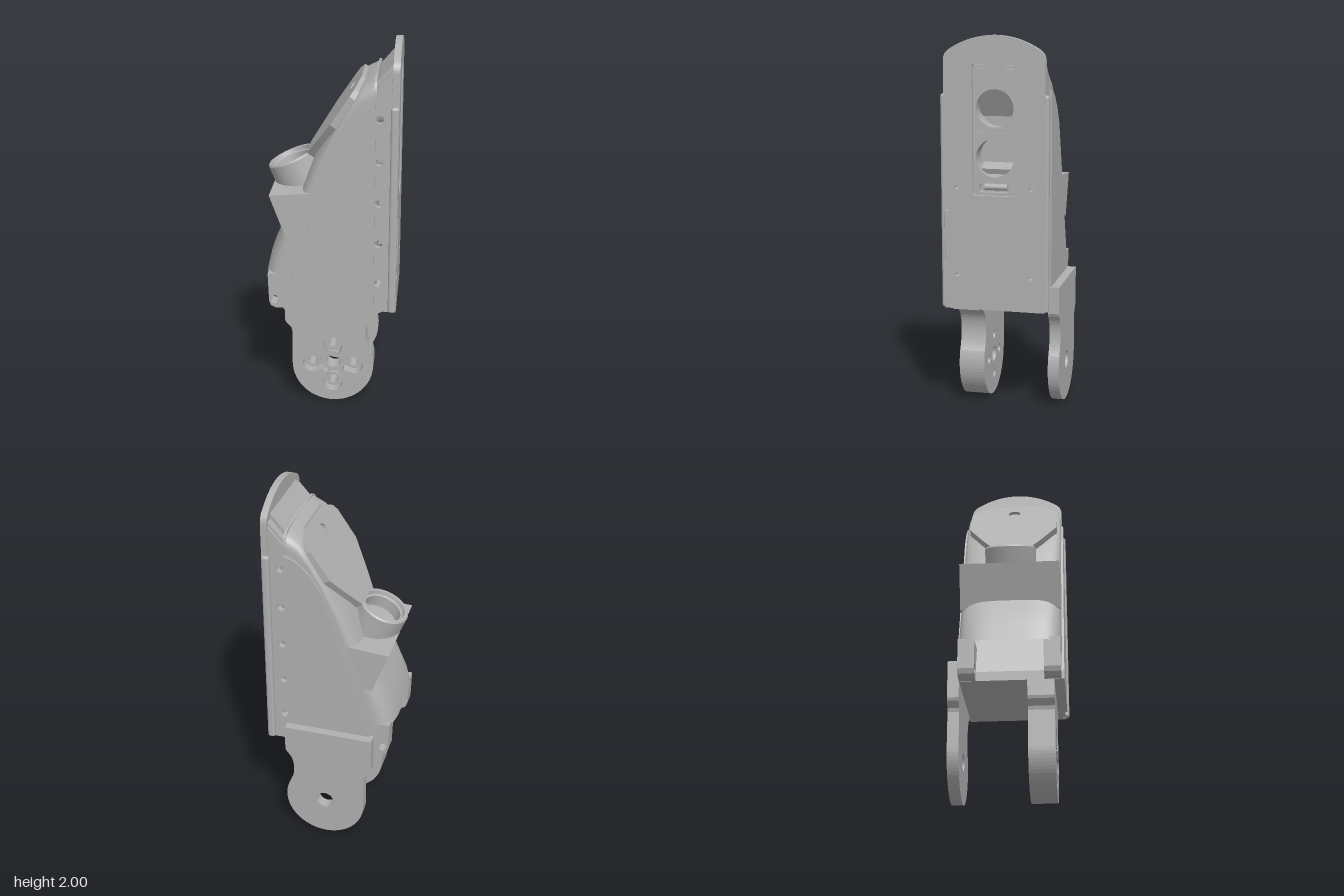
import * as THREE from 'three';
import { RoundedBoxGeometry } from 'three/addons/geometries/RoundedBoxGeometry.js';

const ZC = 0.0175; // middle of the housing in z

export function createModel() {
  const model = new THREE.Group();
  const grey = new THREE.MeshStandardMaterial({ color: 0xb0b0b0, side: THREE.DoubleSide });

  const add = (name, geo) => {
    const mesh = new THREE.Mesh(geo, grey);
    mesh.name = name;
    model.add(mesh);
    return mesh;
  };
  const poly = (pts) => new THREE.Shape(pts.map(([x, y]) => new THREE.Vector2(x, y)));
  const circle = (x, y, r) => new THREE.Path().absarc(x, y, r, 0, Math.PI * 2, true);
  const extrude = (shape, a, b) => new THREE.ExtrudeGeometry(shape,
    { depth: b - a, bevelEnabled: false, curveSegments: 20 }).translate(0, 0, a);
  // plates drawn in (z, y) and extruded along x; shape x runs along -z
  const extrudeX = (shape, a, b) => extrude(shape, a, b).rotateY(Math.PI / 2);
  const roundRect = (T, x0, x1, y0, y1, r) => {
    const s = new T();
    s.moveTo(x0 + r, y0).lineTo(x1 - r, y0);
    s.quadraticCurveTo(x1, y0, x1, y0 + r).lineTo(x1, y1 - r);
    s.quadraticCurveTo(x1, y1, x1 - r, y1).lineTo(x0 + r, y1);
    s.quadraticCurveTo(x0, y1, x0, y1 - r).lineTo(x0, y0 + r);
    s.quadraticCurveTo(x0, y0, x0 + r, y0);
    return s;
  };

  // main housing with sloped side panels
  add('housing', extrude(poly([[-0.25, 0.57], [0.23, 0.57], [0.23, 1.72], [0.16, 1.69],
    [0.09, 1.62], [0.035, 1.53], [-0.25, 0.62]]), -0.26, 0.295));

  // curved front cover, lofted between the panel edge and the front line
  const sections = [ // panel edge x, y, front line x, y
    [-0.215, 0.72, -0.352, 0.755], [-0.185, 0.82, -0.33, 0.85], [-0.15, 0.93, -0.285, 0.95],
    [-0.10, 1.09, -0.22, 1.09], [-0.06, 1.22, -0.15, 1.24], [-0.01, 1.38, -0.085, 1.41],
    [0.035, 1.53, 0.02, 1.58], [0.09, 1.62, 0.115, 1.745], [0.15, 1.68, 0.165, 1.81],
    [0.235, 1.72, 0.235, 1.845]];
  const N = 32, pos = [], idx = [];
  const pow = (v) => Math.sign(v) * Math.abs(v) ** 0.5;
  sections.forEach(([sx, sy, fx, fy], i) => {
    for (let j = 0; j <= N; j++) {
      const a = (j / N - 0.5) * Math.PI, c = pow(Math.max(0, Math.cos(a)));
      pos.push(sx + (fx - sx) * c, sy + (fy - sy) * c, ZC + 0.266 * pow(Math.sin(a)));
      if (i && j) {
        const q = i * (N + 1) + j, p = q - N - 1;
        idx.push(p - 1, p, q, p - 1, q, q - 1);
      }
    }
  });
  const cover = new THREE.BufferGeometry();
  cover.setAttribute('position', new THREE.Float32BufferAttribute(pos, 3));
  cover.setIndex(idx);
  cover.computeVertexNormals();
  add('frontCover', cover);
  // end wall closing the cover at the column
  add('coverEndWall', extrudeX(roundRect(THREE.Shape, -ZC - 0.266, -ZC + 0.266, 1.5, 1.84, 0.09), 0.222, 0.235));

  // raised pad on the upper slope, with a hole
  const half = [[0.1, 0], [0.17, 0.11], [0.245, 0.24], [0.245, 0.42], [0.225, 0.46], [0.13, 0.515]];
  const pad = poly([...half, ...half.map(([x, y]) => [-x, y]).reverse()]);
  pad.holes.push(circle(0, 0.425, 0.033));
  const padGeo = extrude(pad, -0.06, 0);
  padGeo.applyMatrix4(new THREE.Matrix4().makeBasis(new THREE.Vector3(0, 0, 1),
    new THREE.Vector3(0.557, 0.83, 0), new THREE.Vector3(-0.83, 0.557, 0)).setPosition(-0.137, 1.397, ZC));
  add('upperPad', padGeo);

  // full width wedge and the round socket on it
  add('wedge', extrude(poly([[-0.32, 1.212], [-0.235, 0.98], [-0.12, 1.0], [-0.05, 1.228], [-0.115, 1.228]]), -0.247, 0.281));
  const rim = [[0.137, -0.17], [0.137, -0.008], [0.13, 0], [0.115, 0], [0.11, -0.02],
    [0.1, -0.025], [0.1, -0.09], [0, -0.09]];
  const socket = rim.slice(1).flatMap((p, i) => [rim[i], p]); // doubled points keep rings crisp
  const socketGeo = new THREE.LatheGeometry(socket.map(([x, y]) => new THREE.Vector2(x, y)), 40);
  socketGeo.rotateZ(0.395).translate(-0.23, 1.352, ZC);
  add('socket', socketGeo);

  // lower lugs on both sides of the cover notch
  for (const s of [-1, 1]) {
    const lug = poly([[-0.33, 0.61], [-0.32, 0.585], [-0.295, 0.572], [-0.24, 0.572], [-0.2, 0.77], [-0.335, 0.77]]);
    lug.holes.push(circle(-0.3, 0.62, 0.024));
    const z = ZC + s * 0.22;
    add('lug', extrude(lug, z - 0.043, z + 0.043));
  }

  // rear column: side strips with through holes
  for (const s of [-1, 1]) {
    const strip = poly([[0.225, 0.572], [0.312, 0.572], [0.312, 1.86], [0.225, 1.76]]);
    for (let i = 0; i < 5; i++) strip.holes.push(circle(0.252, 0.735 + i * 0.225, 0.021));
    const z = ZC + s * 0.249;
    add('sideStrip', extrude(strip, z - 0.015, z + 0.015));
    // rounded rail at the rear edge
    add('rearRail', new RoundedBoxGeometry(0.042, 1.13, 0.036, 3, 0.014)
      .translate(0.328, 1.137, ZC + s * 0.268));
  }
  add('columnFloor', new THREE.BoxGeometry(0.09, 0.02, 0.5).translate(0.27, 0.582, ZC));
  add('columnRoof', extrude(poly([[0.2, 1.71], [0.235, 1.74], [0.318, 1.84], [0.318, 1.915], [0.2, 1.775]]), -0.19, 0.22));
  for (const s of [-1, 1]) {
    add('roofShoulder', extrude(poly([[0.2, 1.7], [0.318, 1.8], [0.318, 1.885], [0.225, 1.78]]),
      ZC + s * 0.22 - 0.03, ZC + s * 0.22 + 0.03));
  }

  // rear plate with arched top and window
  const plate = new THREE.Shape();
  plate.moveTo(-ZC - 0.266, 0.572).lineTo(-ZC + 0.266, 0.572).lineTo(-ZC + 0.266, 1.87);
  plate.quadraticCurveTo(-ZC + 0.266, 1.91, -ZC + 0.23, 1.932);
  plate.quadraticCurveTo(-ZC + 0.12, 2.0, -ZC, 2.0);
  plate.quadraticCurveTo(-ZC - 0.12, 2.0, -ZC - 0.23, 1.932);
  plate.quadraticCurveTo(-ZC - 0.266, 1.91, -ZC - 0.266, 1.87);
  plate.holes.push(roundRect(THREE.Path, -0.132, 0.096, 1.18, 1.858, 0.02));
  for (const z of [-0.215, 0.178]) for (const y of [0.755, 1.22]) plate.holes.push(circle(z, y, 0.011));
  add('rearPlate', extrudeX(plate, 0.315, 0.35));

  // window insert: two round ports, a slot and ridges
  const insert = roundRect(THREE.Shape, -0.14, 0.104, 1.17, 1.87, 0.02);
  insert.holes.push(circle(-ZC, 1.63, 0.098), circle(-ZC, 1.375, 0.1),
    roundRect(THREE.Path, -0.1, 0.064, 1.195, 1.245, 0.02));
  add('windowInsert', extrudeX(insert, 0.3, 0.33));
  for (const y of [1.5, 1.825, 1.845]) {
    add('windowRidge', new THREE.BoxGeometry(0.014, 0.01, 0.21).translate(0.333, y, ZC));
  }
  for (const y of [1.63, 1.375]) {
    add('portWall', new THREE.CylinderGeometry(0.1, 0.1, 0.07, 32, 1, true).rotateZ(Math.PI / 2).translate(0.268, y, ZC));
  }
  add('upperPortFace', new THREE.CircleGeometry(0.11, 32).rotateY(Math.PI / 2).rotateZ(-0.5).translate(0.262, 1.63, ZC));
  add('lowerPortLedge', new THREE.BoxGeometry(0.07, 0.03, 0.16).rotateZ(-0.4).translate(0.27, 1.315, ZC));
  add('slotPin', new THREE.CylinderGeometry(0.017, 0.017, 0.12, 16).rotateX(Math.PI / 2).translate(0.3, 1.22, ZC));
  add('sideLatch', new RoundedBoxGeometry(0.012, 0.26, 0.022, 2, 0.005).translate(0.349, 0.97, 0.272));

  // hinge ears
  const CX = 0.01, CY = 0.225, R = 0.222;
  const ear = (top, flare) => {
    const s = new THREE.Shape();
    s.moveTo(-0.25, top).lineTo(-0.25, 0.485).lineTo(-0.245, 0.47).lineTo(-0.217, 0.44).lineTo(CX - R, 0.42);
    s.lineTo(CX - R, CY).absarc(CX, CY, R, Math.PI, Math.PI * 2 + 0.35, false);
    s.bezierCurveTo(0.18, 0.36, 0.17, 0.47, 0.225, 0.52);
    if (flare) s.bezierCurveTo(0.255, 0.55, 0.29, 0.56, 0.345, 0.566);
    else s.lineTo(0.235, 0.54);
    s.lineTo(flare ? 0.345 : 0.235, top);
    return s;
  };
  const spots = [0, 1, 2, 3].map((i) => [CX + 0.113 * Math.cos(i * Math.PI / 2), CY + 0.113 * Math.sin(i * Math.PI / 2)]);

  const inner = ear(0.575, true);
  inner.holes.push(circle(CX, CY, 0.042), ...spots.map(([x, y]) => circle(x, y, 0.024)));
  add('frontEarInner', extrude(inner, 0.105, 0.185));

  // outer layer with a four-lobed pocket
  const outer = ear(0.575, true), lobes = [];
  for (let i = 0; i < 120; i++) {
    const a = i / 120 * Math.PI * 2, q = Math.round(a / (Math.PI / 2)) * Math.PI / 2, d = 0.113 * Math.sin(a - q);
    const r = Math.abs(d) < 0.052 ? 0.113 * Math.cos(a - q) + Math.sqrt(0.052 ** 2 - d * d) : 0.068;
    lobes.push(new THREE.Vector2(CX + r * Math.cos(a), CY + r * Math.sin(a)));
  }
  outer.holes.push(new THREE.Path(lobes));
  add('frontEarOuter', extrude(outer, 0.185, 0.243));
  const ring = (x, y, ro, ri) => {
    const s = new THREE.Shape().absarc(x, y, ro, 0, Math.PI * 2, false);
    s.holes.push(circle(x, y, ri));
    return s;
  };
  spots.forEach(([x, y]) => add('screwBoss', extrude(ring(x, y, 0.042, 0.025), 0.18, 0.205)));
  add('hubRing', extrude(ring(CX, CY, 0.056, 0.042), 0.18, 0.2));

  const rear = ear(0.685, false);
  rear.holes.push(circle(CX, CY, 0.048));
  add('rearEar', extrude(rear, -0.305, -0.245));

  return model;
}
